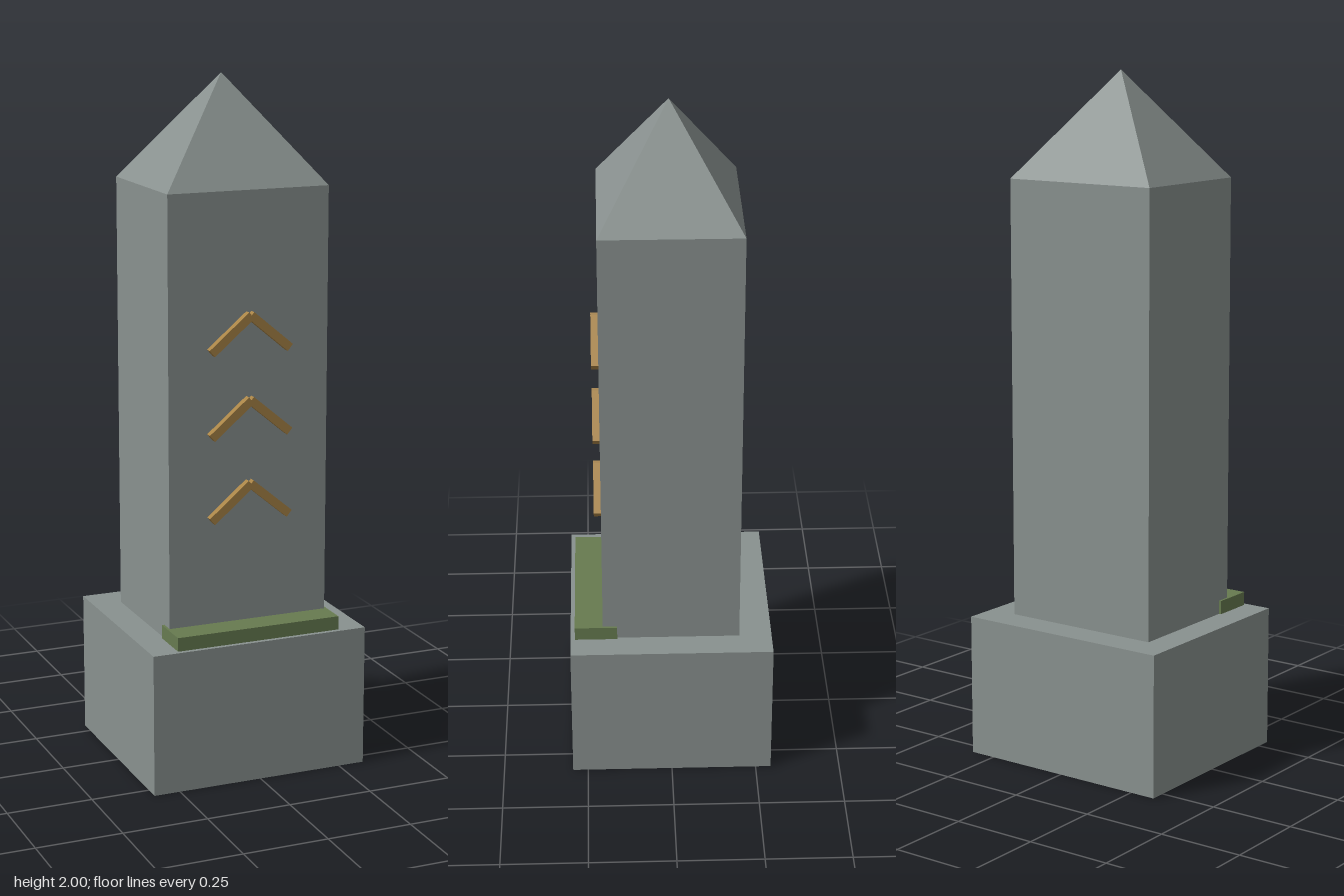
import * as THREE from 'three';

const stone = new THREE.MeshStandardMaterial({ color: 0x89918f });
stone.name = 'grey stone';
const moss = new THREE.MeshStandardMaterial({ color: 0x677b50 });
moss.name = 'moss green';
const bronze = new THREE.MeshStandardMaterial({ color: 0xa98446 });
bronze.name = 'bronze';

function box(name, material, size, position) {
  const mesh = new THREE.Mesh(new THREE.BoxGeometry(...size), material);
  mesh.name = name;
  mesh.position.set(...position);
  return mesh;
}

export function createModel() {
  const model = new THREE.Group();
  model.name = 'obelisk';

  // Plinth and rectangular shaft
  model.add(box('plinth', stone, [0.656, 0.416, 0.59], [0, 0.208, 0]));
  model.add(box('shaft', stone, [0.484, 1.279, 0.4], [0, 1.0555, 0]));

  // Four-sided pointed cap, fitted to the shaft's rectangle
  const capShape = new THREE.ConeGeometry(Math.SQRT1_2, 0.305, 4, 1, true).toNonIndexed();
  capShape.rotateY(Math.PI / 4).scale(0.484, 1, 0.4);
  capShape.computeVertexNormals();
  const cap = new THREE.Mesh(capShape, stone);
  cap.name = 'cap';
  cap.position.y = 1.8475;
  model.add(cap);

  // Mossy ledge at the foot of the front face
  model.add(box('mossLedge', moss, [0.498, 0.04, 0.124], [0, 0.436, 0.22]));

  // Three raised chevrons, each of two mirrored bars
  for (let i = 0; i < 3; i++) {
    const chevron = new THREE.Group();
    chevron.name = `chevron${i + 1}`;
    chevron.position.set(0, 0.813 + i * 0.242, 0.209);
    for (const side of [-1, 1]) {
      const bar = box(side < 0 ? 'rightBar' : 'leftBar', bronze, [0.155, 0.0245, 0.024], [side * 0.059, 0, 0]);
      bar.rotation.z = -side * THREE.MathUtils.degToRad(40);
      chevron.add(bar);
    }
    model.add(chevron);
  }
  return model;
}
